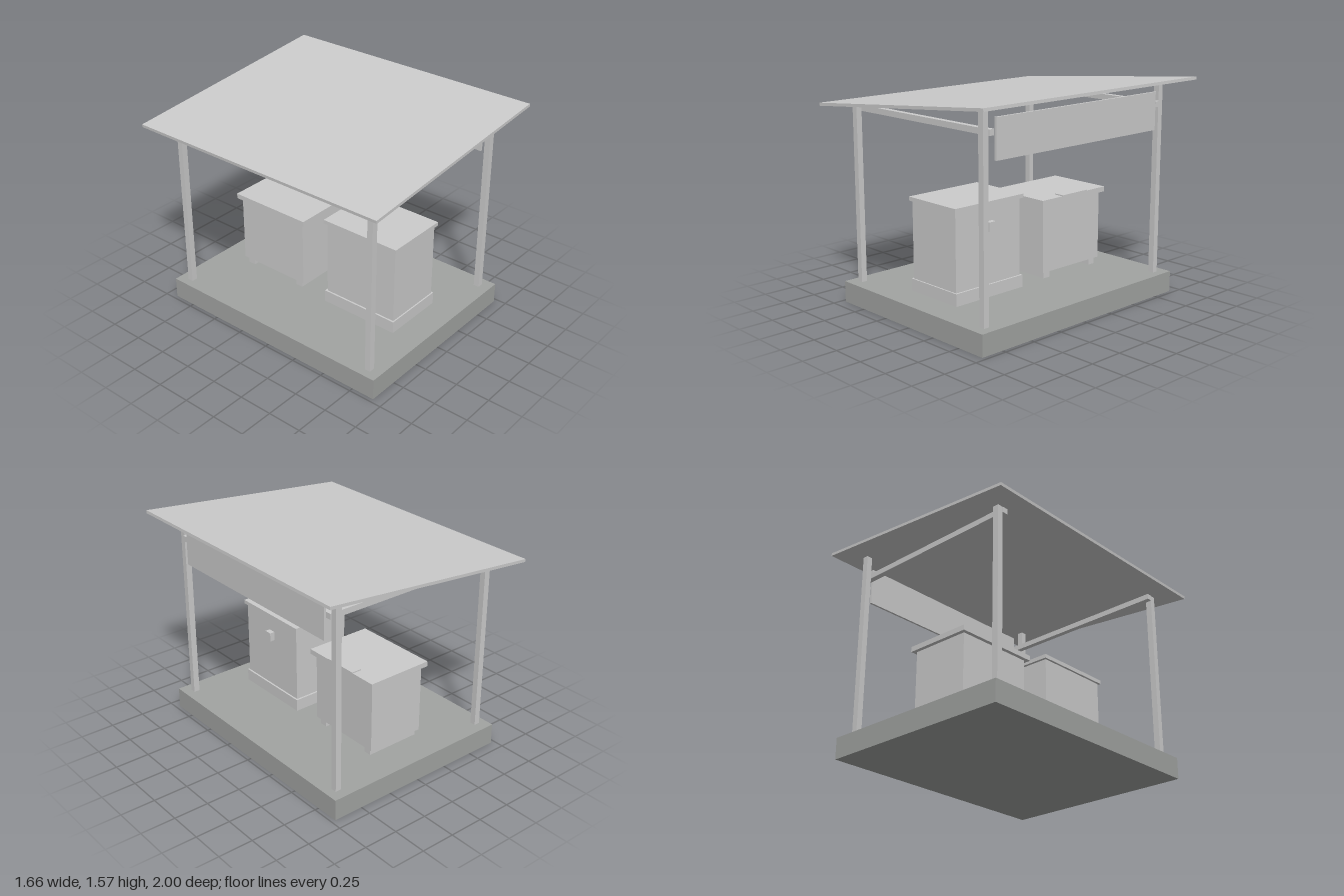
import * as THREE from 'three';

const metal = new THREE.MeshStandardMaterial({ color: 0xcccccc });
metal.name = 'light grey';
const concrete = new THREE.MeshStandardMaterial({ color: 0xa2a4a2 });
concrete.name = 'concrete grey';

// Box given by its min and max on each axis
function box(parent, name, [x0, x1], [y0, y1], [z0, z1], material = metal) {
  const mesh = new THREE.Mesh(new THREE.BoxGeometry(x1 - x0, y1 - y0, z1 - z0), material);
  mesh.position.set((x0 + x1) / 2, (y0 + y1) / 2, (z0 + z1) / 2);
  mesh.name = name;
  parent.add(mesh);
  return mesh;
}

export function createModel() {
  const model = new THREE.Group();
  model.name = 'equipmentShelter';
  const floor = 0.152;

  box(model, 'slab', [-0.72, 0.72], [0, floor], [-0.92, 0.92], concrete);

  // Posts, with a cross beam on the inner side of each pair
  for (const s of [-1, 1]) {
    const post = [s * 0.825 - 0.021, s * 0.825 + 0.021];
    const beam = [s * 0.784 - 0.02, s * 0.784 + 0.02];
    box(model, 'shortPost', [-0.662, -0.618], [floor, 1.405], post);
    box(model, 'tallPost', [0.612, 0.656], [floor, 1.535], post);
    box(model, 'crossBeam', [-0.665, 0.665], [1.365, 1.405], beam);
  }

  // Sign board on the high side
  box(model, 'sideBoard', [0.656, 0.672], [1.207, 1.475], [-0.752, 0.752]);

  // Sloping roof
  const roof = box(model, 'roof', [-0.832, 0.832], [1.475, 1.496], [-1, 1]);
  roof.rotation.z = Math.atan(0.155 / 1.655);

  // Tall cabinet on a plinth
  const tall = new THREE.Group();
  tall.name = 'tallCabinet';
  model.add(tall);
  box(tall, 'plinth', [-0.233, 0.233], [floor, 0.24], [0.103, 0.707]);
  box(tall, 'body', [-0.22, 0.22], [0.24, 0.79], [0.117, 0.697]);
  box(tall, 'lid', [-0.237, 0.237], [0.79, 0.818], [0.097, 0.713]);
  box(tall, 'handle', [0.22, 0.257], [0.615, 0.68], [0.375, 0.431]);

  // Low cabinet on two runners
  const low = new THREE.Group();
  low.name = 'lowCabinet';
  model.add(low);
  for (const z of [-0.166, -0.636]) {
    box(low, 'runner', [-0.205, 0.205], [floor, 0.2], [z - 0.029, z + 0.029]);
  }
  box(low, 'body', [-0.22, 0.22], [0.2, 0.7], [-0.69, -0.112]);
  box(low, 'lid', [-0.248, 0.248], [0.7, 0.737], [-0.718, -0.08]);
  box(low, 'lidPlate', [0.175, 0.253], [0.737, 0.745], [-0.527, -0.275]);

  return model;
}
